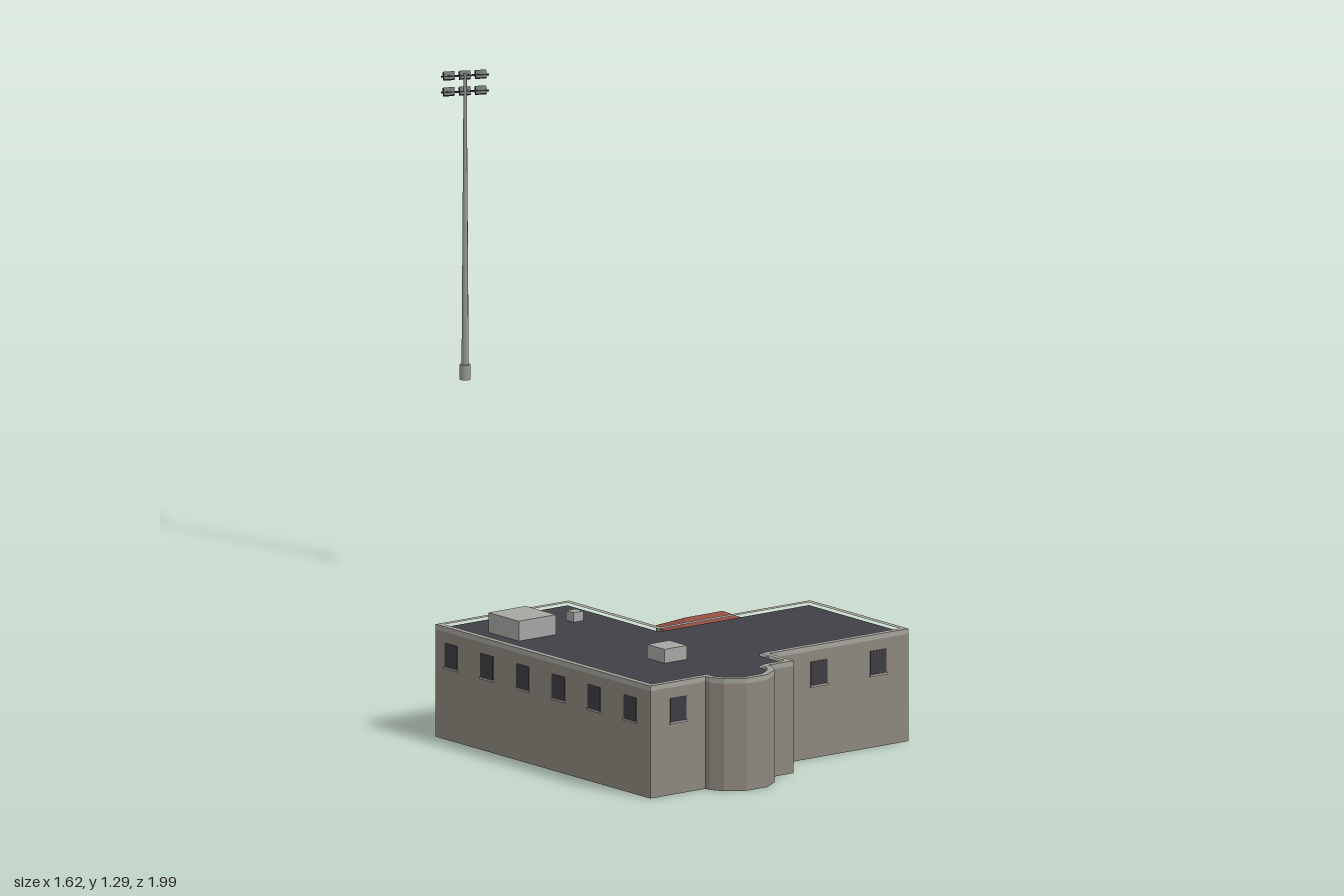
import * as THREE from 'three';
import { ConvexGeometry } from 'three/addons/geometries/ConvexGeometry.js';

const paint = (name, color) => {
  const m = new THREE.MeshStandardMaterial({ color });
  m.name = name;
  return m;
};

// Building outline in its own (u, v) plan, u along the short back wall, v towards the front
const OUTLINE = [
  [0, 0], [0.414, 0], [0.414, 0.363], [0.881, 0.363], [0.881, 0.753], [0.446, 0.753],
  [0.446, 0.852], [0.367, 0.852], [0.367, 0.868], [0.349, 0.9], [0.302, 0.931],
  [0.238, 0.931], [0.191, 0.9], [0.172, 0.868], [0.172, 0.852], [0, 0.852],
];

// Moves every edge of the outline inwards by d, with mitred corners
function inset(points, d) {
  const n = points.length;
  const normal = (a, b) => {
    const l = Math.hypot(b[0] - a[0], b[1] - a[1]);
    return [-(b[1] - a[1]) / l, (b[0] - a[0]) / l];
  };
  return points.map((p, i) => {
    const a = normal(points[(i + n - 1) % n], p);
    const b = normal(p, points[(i + 1) % n]);
    const k = d / (1 + a[0] * b[0] + a[1] * b[1]);
    return [p[0] + (a[0] + b[0]) * k, p[1] + (a[1] + b[1]) * k];
  });
}

const toPath = (points) => points.map(([u, v]) => new THREE.Vector2(u, -v));

// Upright prism over a plan outline, optionally hollow
function prism(outer, y0, y1, hole) {
  const shape = new THREE.Shape(toPath(outer));
  if (hole) shape.holes.push(new THREE.Path(toPath(hole)));
  const g = new THREE.ExtrudeGeometry(shape, { depth: y1 - y0, bevelEnabled: false });
  return g.rotateX(-Math.PI / 2).translate(0, y0, 0);
}

export function createModel() {
  const wall = paint('stone wall', 0x8c877d);
  const trim = paint('parapet trim', 0xa3a29c);
  const slate = paint('dark roof', 0x424047);
  const red = paint('red roof tile', 0x8f4b40);
  const glass = paint('window glass', 0x3c3b42);
  const unit = paint('roof unit grey', 0xa6a6a3);
  const steel = paint('pole steel', 0x999a97);
  const black = paint('lamp housing', 0x303232);
  const lens = paint('lamp lens', 0xe0e0dc);

  const add = (parent, name, geometry, material, x = 0, y = 0, z = 0) => {
    const m = new THREE.Mesh(geometry, material);
    m.name = name;
    m.position.set(x, y, z);
    parent.add(m);
    return m;
  };
  const box = (w, h, d) => new THREE.BoxGeometry(w, h, d);

  const model = new THREE.Group();
  model.name = 'buildingAndFloodlight';

  // Main block
  const building = new THREE.Group();
  building.name = 'building';
  building.position.set(-0.605, 0, 0.012);
  building.rotation.y = -0.246;
  model.add(building);
  const inner = inset(OUTLINE, 0.016);
  add(building, 'walls', prism(OUTLINE, 0, 0.27), wall);
  add(building, 'parapet', prism(OUTLINE, 0.27, 0.283, inner), trim);
  add(building, 'roof', prism(inner, 0.268, 0.276), slate);

  // Windows: wall centre positions, turned to face outwards
  const addWindow = (u, v, turn) => {
    const w = new THREE.Group();
    w.name = 'window';
    w.position.set(u, 0.213, v);
    w.rotation.y = turn;
    add(w, 'pane', box(0.05, 0.06, 0.004), glass);
    add(w, 'sill', box(0.054, 0.005, 0.008), trim, 0, -0.032, 0);
    building.add(w);
  };
  const H = Math.PI / 2;
  [[0.086, 0.852], [0.602, 0.753], [0.787, 0.753]].forEach(([u, v]) => addWindow(u, v, 0));
  [[0.881, 0.66], [0.881, 0.465], [0.414, 0.104], [0.414, 0.28]].forEach(([u, v]) => addWindow(u, v, H));
  [[0.09, 0], [0.215, 0], [0.345, 0], [0.825, 0.363]].forEach(([u, v]) => addWindow(u, v, 2 * H));
  for (let i = 0; i < 6; i++) addWindow(0, 0.062 + 0.142 * i, -H);

  // Projecting upper room with a hipped roof
  add(building, 'oriel', box(0.215, 0.1, 0.132), wall, 0.612, 0.198, 0.298);
  const hip = [
    [0.496, 0.246, 0.221], [0.728, 0.246, 0.221], [0.728, 0.246, 0.345], [0.496, 0.246, 0.345],
    [0.557, 0.272, 0.284], [0.67, 0.272, 0.284],
  ].map((p) => new THREE.Vector3(...p));
  add(building, 'orielRoof', new ConvexGeometry(hip), red);

  // Rooftop units: u, v, width, depth, top height
  [[0.123, 0.187, 0.116, 0.12, 0.326], [0.233, 0.621, 0.07, 0.07, 0.311], [0.312, 0.154, 0.03, 0.03, 0.3]]
    .forEach(([u, v, w, d, top]) =>
      add(building, 'roofUnit', box(w, top - 0.27, d), unit, u, (top + 0.27) / 2, v));

  // Floodlight mast
  const mast = new THREE.Group();
  mast.name = 'floodlight';
  mast.position.set(0.758, 0, -0.953);
  mast.rotation.y = -0.69;
  model.add(mast);
  add(mast, 'mastBase', new THREE.CylinderGeometry(0.014, 0.014, 0.038, 8), steel, 0, 0.53, 0);
  add(mast, 'mastPole', new THREE.CylinderGeometry(0.004, 0.009, 0.735, 8), steel, 0, 0.9125, 0);

  // Two rows of three lamps, tilted down and away from the building
  for (const y of [1.235, 1.275]) {
    add(mast, 'crossbar', box(0.12, 0.004, 0.004), black, 0, y, 0);
    for (const x of [-0.04, 0, 0.04]) {
      const lamp = new THREE.Group();
      lamp.name = 'lamp';
      lamp.position.set(x, y, -0.006);
      lamp.rotation.x = -0.4;
      add(lamp, 'housing', box(0.027, 0.02, 0.014), black);
      add(lamp, 'lens', box(0.024, 0.017, 0.002), lens, 0, 0, -0.0075);
      mast.add(lamp);
    }
  }
  return model;
}
